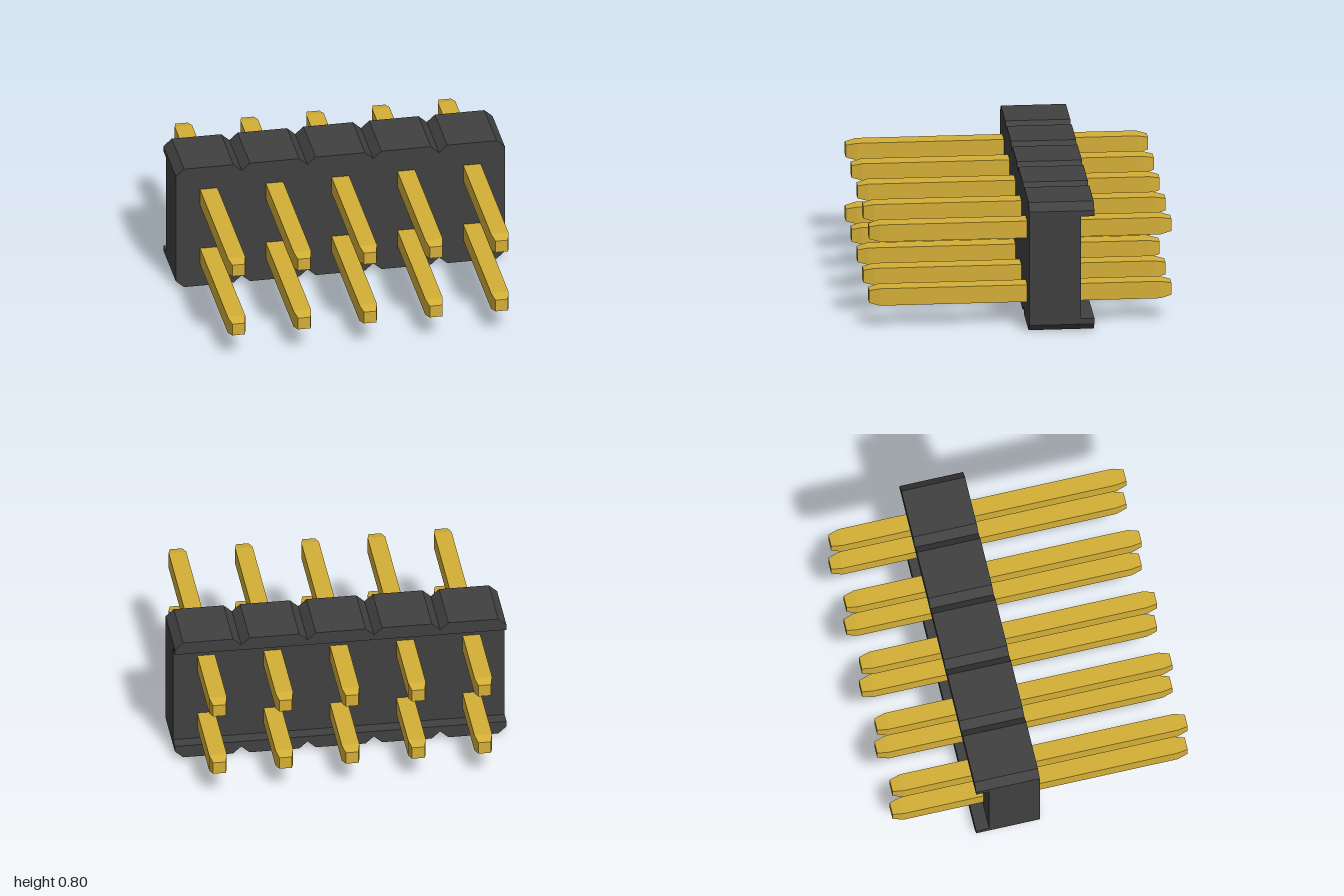
import * as THREE from 'three';

const COLUMNS = 5, PITCH = 0.4, HEIGHT = 0.8;
const NOTCH_X = 0.05, NOTCH_Y = 0.045;
const FRONT = -0.04, RECESS = -0.35, BACK = -0.43, LIP = 0.08;
const LENGTH = 1.81, TAPER = 0.065, PIN = 0.106, TIP = 0.076;

// Scalloped top edge, left to right: one chamfered bump per column
function topEdge() {
  const pts = [];
  for (let i = 0; i < COLUMNS; i++) {
    const x0 = -1 + i * PITCH, x1 = x0 + PITCH;
    pts.push([x0, HEIGHT - NOTCH_Y], [x0 + NOTCH_X, HEIGHT], [x1 - NOTCH_X, HEIGHT]);
  }
  pts.push([1, HEIGHT - NOTCH_Y]);
  return pts;
}

const mirrorY = (pts) => pts.map(([x, y]) => [x, HEIGHT - y]).reverse();

// Prism from an outline between two depths
function slab(name, pts, z0, z1, material) {
  const shape = new THREE.Shape(pts.map(([x, y]) => new THREE.Vector2(x, y)));
  const geo = new THREE.ExtrudeGeometry(shape, { depth: z1 - z0, bevelEnabled: false });
  geo.translate(0, 0, z0);
  const mesh = new THREE.Mesh(geo, material);
  mesh.name = name;
  return mesh;
}

// Square pin: a box whose end corners are drawn in to form tapered tips
function pinGeometry() {
  const geo = new THREE.BoxGeometry(PIN, PIN, LENGTH, 1, 1, 3);
  const p = geo.attributes.position;
  for (let i = 0; i < p.count; i++) {
    const z = p.getZ(i);
    if (Math.abs(z) > LENGTH * 0.4) {
      p.setX(i, Math.sign(p.getX(i)) * TIP / 2);
      p.setY(i, Math.sign(p.getY(i)) * TIP / 2);
    } else {
      p.setZ(i, Math.sign(z) * (LENGTH / 2 - TAPER));
    }
  }
  const flat = geo.toNonIndexed();
  flat.computeVertexNormals();
  return flat;
}

export function createModel() {
  const model = new THREE.Group();
  model.name = 'pinHeader';
  const plastic = new THREE.MeshStandardMaterial({ color: 0x404040, flatShading: true });
  const gold = new THREE.MeshStandardMaterial({ color: 0xd4af37, flatShading: true });

  // Housing with a lip along the top and bottom of its back
  const top = topEdge();
  const lip = [...top, [1, HEIGHT - LIP], [-1, HEIGHT - LIP]];
  const housing = new THREE.Group();
  housing.name = 'housing';
  housing.add(
    slab('housingBlock', [...top, ...mirrorY(top)], RECESS, FRONT, plastic),
    slab('upperLip', lip, BACK, RECESS, plastic),
    slab('lowerLip', mirrorY(lip), BACK, RECESS, plastic),
  );
  model.add(housing);

  // Two rows of pins passing through the housing
  const pins = new THREE.Group();
  pins.name = 'pins';
  const geo = pinGeometry();
  for (const y of [0.2, 0.6]) {
    for (let i = 0; i < COLUMNS; i++) {
      const pin = new THREE.Mesh(geo, gold);
      pin.name = 'pin';
      pin.position.set((i - (COLUMNS - 1) / 2) * PITCH, y, 0);
      pins.add(pin);
    }
  }
  model.add(pins);
  return model;
}
